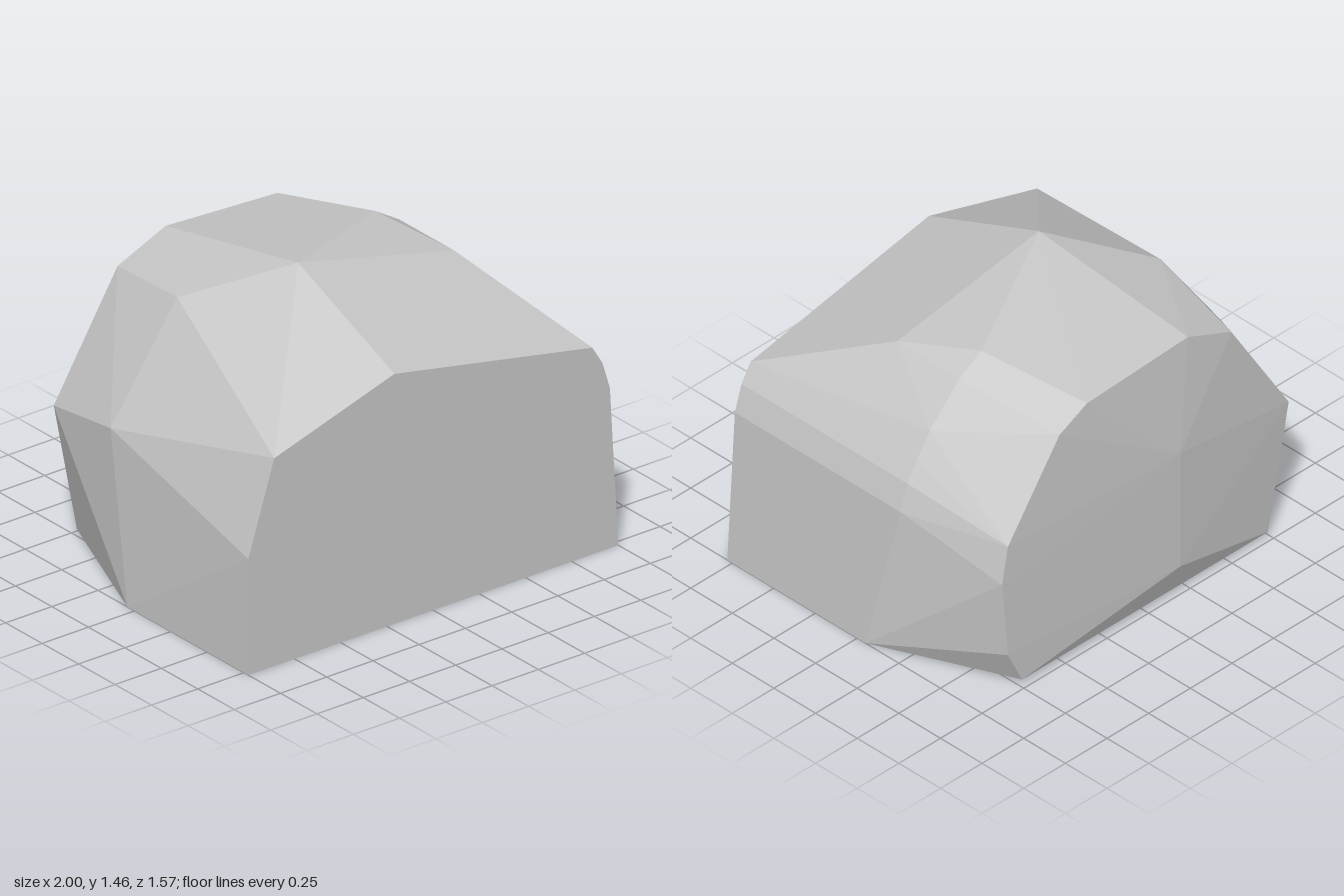
import * as THREE from 'three';
import { ConvexGeometry } from 'three/addons/geometries/ConvexGeometry.js';

// Places a flat [x, y] outline at depth z
const section = (z, outline) => outline.map(([x, y]) => new THREE.Vector3(x, y, z));

export function createModel() {
  const stone = new THREE.MeshStandardMaterial({ color: 0xc6c6c6 });
  stone.name = 'stone grey';

  const corners = [
    // flat cut front
    ...section(0.78, [[-1, 0], [1, 0], [0.955, 0.76], [0.915, 0.89], [0.86, 0.98],
      [-0.21, 1.185], [-0.86, 0.985], [-1, 0.55]]),
    // peak and front shoulder
    ...section(0.12, [[-0.21, 1.455]]),
    ...section(0.16, [[0.6, 1.28]]),
    // widest part of the base
    ...section(-0.05, [[-1, 0], [1, 0]]),
    // rounded shoulders
    ...section(-0.215, [[-0.96, 0.77], [-0.6, 1.28], [0.47, 1.36], [0.6, 1.28],
      [0.78, 1.1], [0.86, 0.98], [0.915, 0.89], [0.955, 0.76]]),
    // rim of the back
    ...section(-0.725, [[-0.74, 0.025], [-0.865, 0.65], [-0.52, 1.205], [-0.26, 1.315],
      [0.345, 1.285], [0.51, 1.205], [0.82, 0.775], [0.855, 0.59], [0.82, 0.2], [0.735, 0.025]]),
    // shallow upright ridge on the back
    ...section(-0.785, [[-0.155, 0.785], [-0.155, 0.185]]),
  ];

  const boulder = new THREE.Mesh(new ConvexGeometry(corners), stone);
  boulder.name = 'boulder';

  const group = new THREE.Group();
  group.name = 'facetedRock';
  group.add(boulder);
  return group;
}
